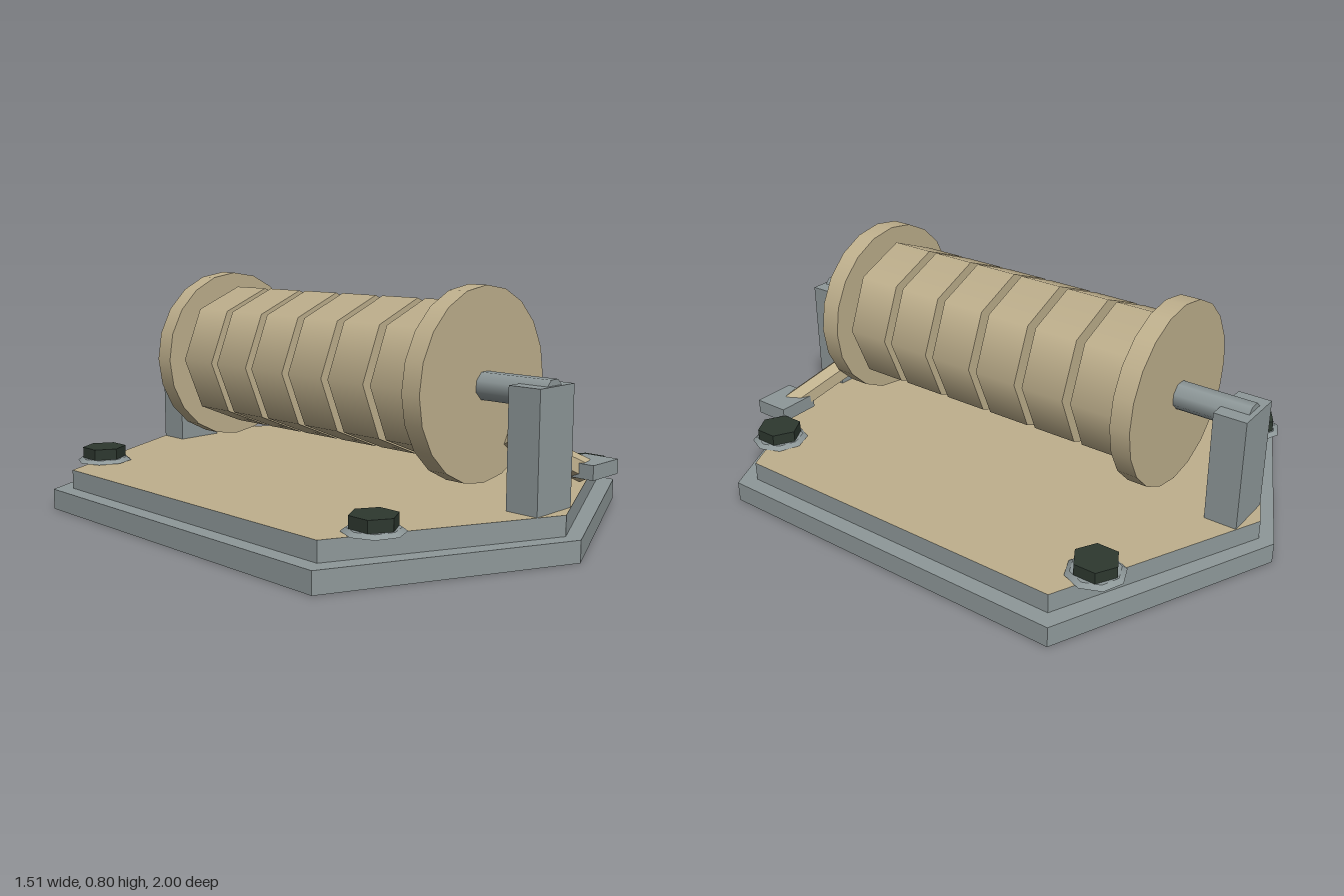
import * as THREE from 'three';

const mat = (name, color, flatShading = false) => {
  const m = new THREE.MeshStandardMaterial({ color });
  m.name = name;
  m.flatShading = flatShading;
  return m;
};

export function createModel() {
  const tan = mat('tan', 0xbfb08d);
  const grey = mat('grey', 0x8e9899);
  const dark = mat('dark', 0x2d382f);
  const root = new THREE.Group();

  const add = (name, geometry, material, x = 0, y = 0, z = 0, parent = root) => {
    const mesh = new THREE.Mesh(geometry, material);
    mesh.name = name;
    mesh.position.set(x, y, z);
    parent.add(mesh);
    return mesh;
  };

  // Hexagonal slab standing on y = 0
  const slab = (halfWidth, cornerZ, tipZ, height) => {
    const shape = new THREE.Shape([
      [0, -tipZ], [halfWidth, -cornerZ], [halfWidth, cornerZ],
      [0, tipZ], [-halfWidth, cornerZ], [-halfWidth, -cornerZ],
    ].map(([x, y]) => new THREE.Vector2(x, y)));
    return new THREE.ExtrudeGeometry(shape, { depth: height, bevelEnabled: false })
      .rotateX(-Math.PI / 2);
  };

  // Cylinder lying along z, with a corner at the top unless turned
  const roll = (radius, length, sides, turn = 0) =>
    new THREE.CylinderGeometry(radius, radius, length, sides)
      .rotateY(turn).rotateX(Math.PI / 2);

  // Stepped base; the upper step has a tan top and grey rim
  add('lowerBase', slab(0.755, 0.65, 1, 0.07), grey);
  add('upperBase', slab(0.7, 0.613, 0.947, 0.065), [tan, grey], 0, 0.07, 0);

  // Drum on its axle
  const axisY = 0.49;
  const drum = new THREE.Group();
  drum.name = 'drum';
  drum.position.set(0, axisY, 0.003);
  root.add(drum);
  add('core', roll(0.153, 1.16, 8), dark, 0, 0, 0, drum);
  add('axle', roll(0.047, 1.78, 8, Math.PI / 8), grey, 0, 0, 0, drum);
  for (let i = 0; i < 6; i++) {
    add('coil', roll(0.2575, 0.156, 8), tan, 0, 0, (i - 2.5) * 0.1867, drum);
  }
  for (const s of [-1, 1]) {
    add('endDisc', roll(0.31, 0.07, 20), tan, 0, 0, s * 0.6, drum);
    add('axlePost', new THREE.BoxGeometry(0.175, 0.38, 0.112), grey, 0, 0.325, s * 0.848);
  }

  // Corner bolts
  for (const x of [-0.532, 0.532]) {
    for (const z of [-0.668, 0.668]) {
      const bolt = new THREE.Group();
      bolt.name = 'bolt';
      bolt.position.set(x, 0.135, z);
      root.add(bolt);
      add('washer', new THREE.CylinderGeometry(0.08, 0.096, 0.012, 8), grey, 0, 0.009, 0, bolt);
      add('boltHead', new THREE.CylinderGeometry(0.075, 0.075, 0.04, 6).toNonIndexed(),
        dark, 0, 0.033, 0, bolt).geometry.computeVertexNormals();
    }
  }

  // Slanted brake lever and its pedal
  const from = new THREE.Vector3(0.125, 0.322, 0.635);
  const to = new THREE.Vector3(0.38, 0.18, 0.765);
  const dir = to.clone().sub(from);
  const leverGeo = new THREE.CylinderGeometry(0.042, 0.042, dir.length(), 6).toNonIndexed();
  leverGeo.computeVertexNormals();
  const lever = add('lever', leverGeo, tan);
  lever.position.copy(from).add(to).multiplyScalar(0.5);
  lever.quaternion.setFromUnitVectors(new THREE.Vector3(0, 1, 0), dir.normalize());
  add('pedal', new THREE.BoxGeometry(0.15, 0.05, 0.128), grey, 0.4, 0.19, 0.768);

  return root;
}
